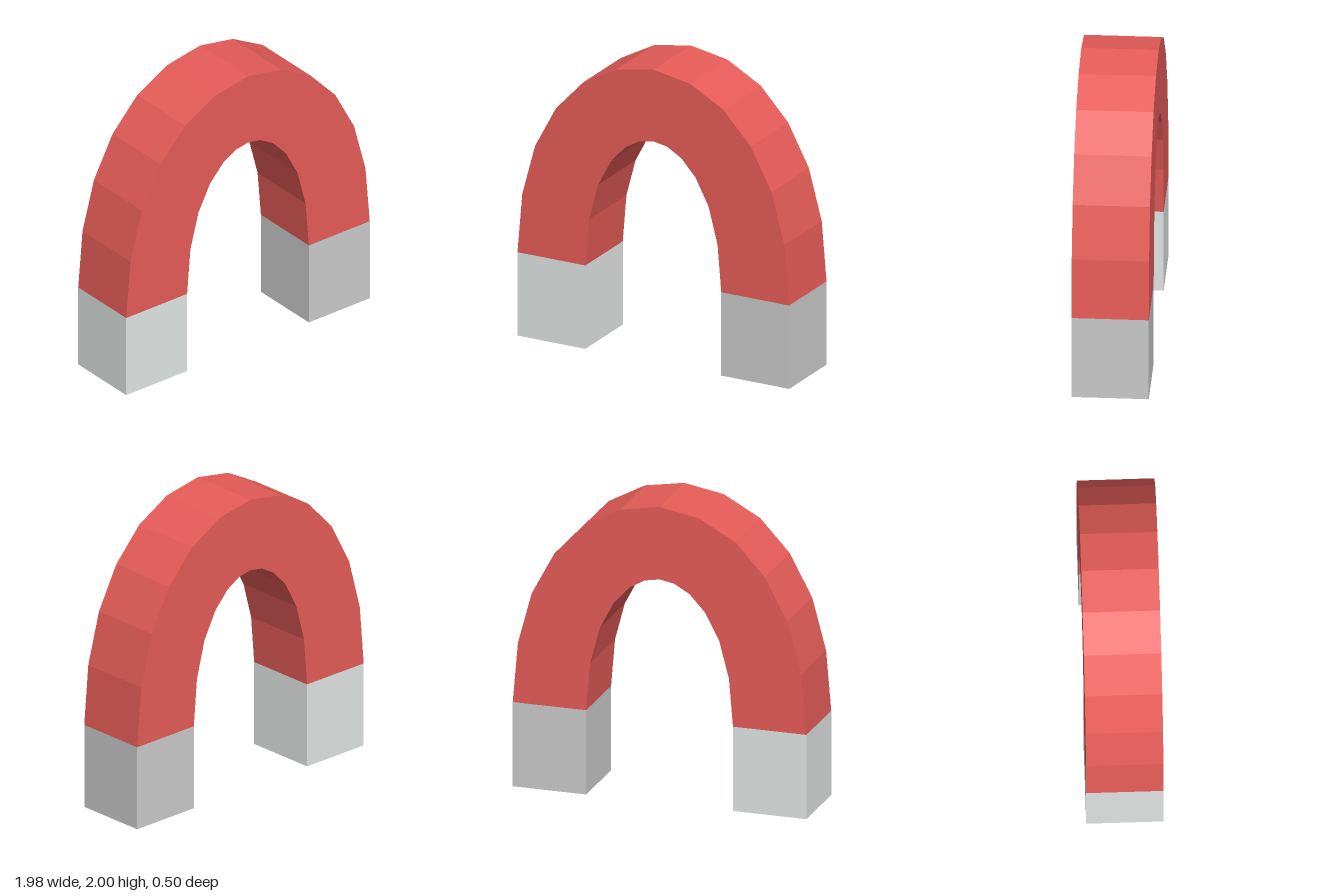
import * as THREE from 'three';

const DEPTH = 0.495;
const LEG_TOP = 0.57;

// Half outlines of the arch, from the leg top up to the crown
const OUTER = [[0.99, LEG_TOP], [0.955, 0.975], [0.862, 1.32], [0.71, 1.605], [0.51, 1.82], [0.267, 1.953]];
const INNER = [[0.495, LEG_TOP], [0.468, 0.89], [0.402, 1.14], [0.307, 1.32], [0.202, 1.433], [0.1, 1.492]];

// Mirrors a half outline into a full arc running from +x over the crown to -x
function fullArc(half, crownY) {
  const mirrored = half.map(([x, y]) => [-x, y]).reverse();
  return [...half, [0, crownY], ...mirrored].map(([x, y]) => new THREE.Vector2(x, y));
}

function material(color) {
  return new THREE.MeshStandardMaterial({ color, flatShading: true });
}

export function createModel() {
  const model = new THREE.Group();
  model.name = 'horseshoeMagnet';

  // Faceted red arch
  const outline = new THREE.Shape([...fullArc(OUTER, 2), ...fullArc(INNER, 1.51).reverse()]);
  const archGeometry = new THREE.ExtrudeGeometry(outline, { depth: DEPTH, bevelEnabled: false });
  archGeometry.translate(0, 0, -DEPTH / 2);
  const arch = new THREE.Mesh(archGeometry, material(0xe65c58));
  arch.name = 'arch';
  model.add(arch);

  // Pole tips, the right one slightly paler
  for (const [name, side, color] of [['leftPole', 1, 0xcccccc], ['rightPole', -1, 0xe1e6e4]]) {
    const pole = new THREE.Mesh(new THREE.BoxGeometry(0.495, LEG_TOP, DEPTH), material(color));
    pole.name = name;
    pole.position.set(side * 0.7425, LEG_TOP / 2, 0);
    model.add(pole);
  }

  return model;
}
